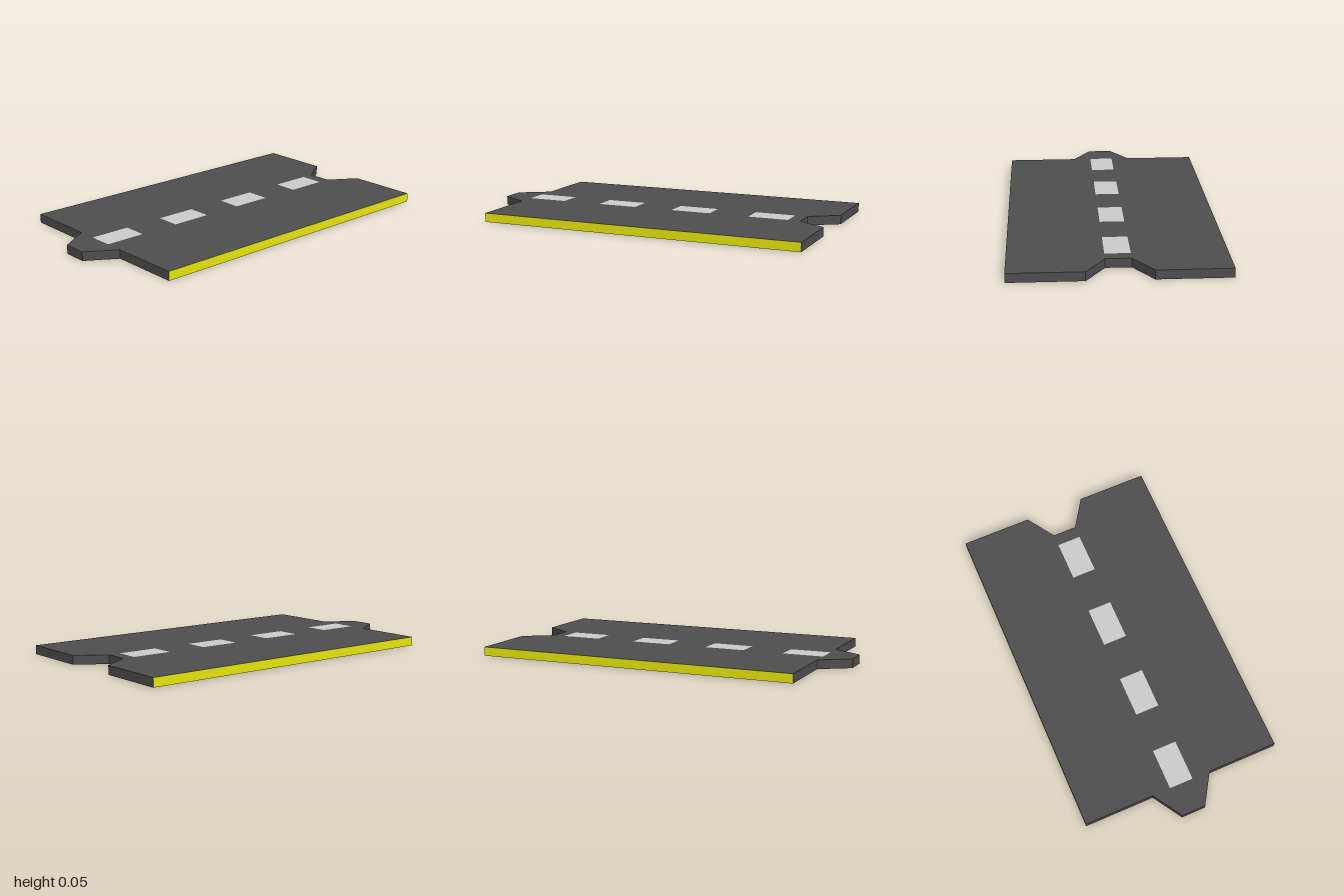
import * as THREE from 'three';
import { mergeGeometries } from 'three/addons/utils/BufferGeometryUtils.js';

const H = 0.05, HALF_W = 0.57;
const TIP = 0.068, BASE = 0.172;          // half widths of the connector
const DASH_LENGTH = 0.23;
const DASH_CENTRES = [-0.656, -0.197, 0.26, 0.72];

// Plan outline as (x, z), counter-clockwise seen from above
const half = [[TIP, 1], [BASE, 0.835], [HALF_W, 0.835], [HALF_W, -1], [BASE, -1], [TIP, -0.84]];
const outline = [...half, ...half.map(([x, z]) => [-x, z]).reverse()];

const paint = (color) => new THREE.MeshStandardMaterial({ color });

// Flat road face with openings where the lane dashes sit
function roadFace(isTop) {
  const s = isTop ? -1 : 1;
  const shape = new THREE.Shape(outline.map(([x, z]) => new THREE.Vector2(x, s * z)));
  for (const c of DASH_CENTRES) {
    const a = c - DASH_LENGTH / 2, b = c + DASH_LENGTH / 2;
    const corners = [[-TIP, a], [-TIP, b], [TIP, b], [TIP, a]];
    shape.holes.push(new THREE.Path(corners.map(([x, z]) => new THREE.Vector2(x, s * z))));
  }
  return new THREE.ShapeGeometry(shape).rotateX(s * Math.PI / 2).translate(0, isTop ? H : 0, 0);
}

// Upright wall along one edge of the outline, facing outward
function wall([x0, z0], [x1, z1]) {
  const dx = x1 - x0, dz = z1 - z0;
  return new THREE.PlaneGeometry(Math.hypot(dx, dz), H)
    .rotateY(Math.atan2(-dz, dx))
    .translate((x0 + x1) / 2, H / 2, (z0 + z1) / 2);
}

export function createModel() {
  const group = new THREE.Group();
  group.name = 'roadSegment';
  const add = (name, geometry, material) => {
    const mesh = new THREE.Mesh(geometry, material);
    mesh.name = name;
    group.add(mesh);
  };
  const asphalt = paint(0x4e4e4e), yellow = paint(0xe6e610), white = paint(0xcccccc);

  // Asphalt slab with connector tab and notch; long sides are yellow kerbs
  const slab = [roadFace(true), roadFace(false)];
  outline.forEach((p, i) => {
    const q = outline[(i + 1) % outline.length];
    const isKerb = Math.abs(p[0]) === HALF_W && p[0] === q[0];
    if (isKerb) add(p[0] > 0 ? 'leftKerb' : 'rightKerb', wall(p, q), yellow);
    else slab.push(wall(p, q));
  });
  add('roadSlab', mergeGeometries(slab), asphalt);

  // Lane dashes, flush with the top and the underside
  DASH_CENTRES.forEach((z, i) => {
    const dash = [-1, 1].map((s) => new THREE.PlaneGeometry(2 * TIP, DASH_LENGTH)
      .rotateX(s * Math.PI / 2).translate(0, s < 0 ? H : 0, z));
    add(`laneDash${i + 1}`, mergeGeometries(dash), white);
  });
  return group;
}
